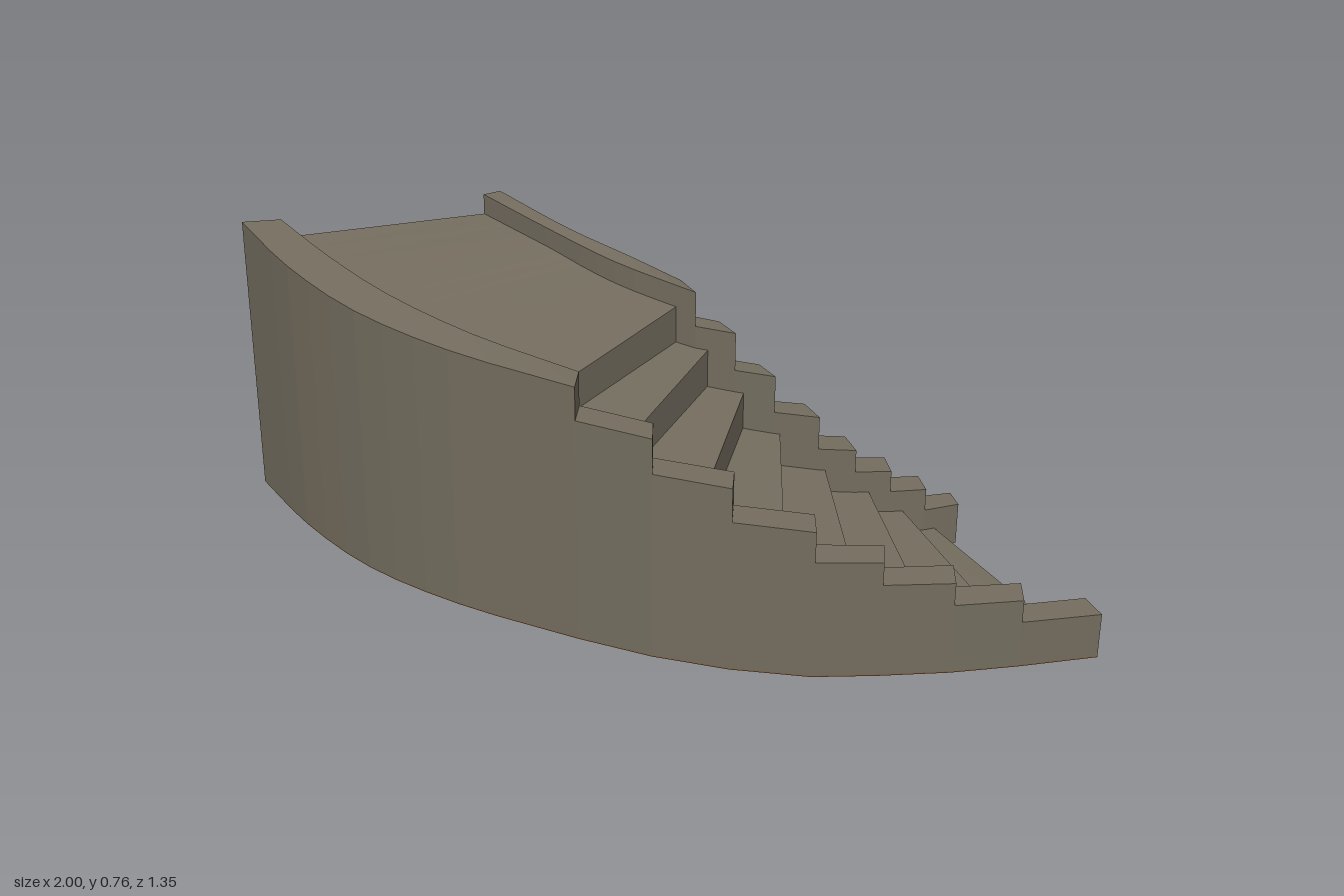
import * as THREE from 'three';

const TRIM = 0.003; // thickness of the base trim

// Solid lofted through stations, standing on the height y0.
// A station is [outerX, outerZ, outerTop, innerX, innerZ, innerTop].
function loft(stations, y0) {
  const rings = stations.map(([ax, az, ha, bx, bz, hb]) => [
    [ax, y0, az], [bx, y0, bz], [bx, hb, bz], [ax, ha, az],
  ]);
  const pos = [];
  const quad = (a, b, c, d) => pos.push(...a, ...b, ...c, ...a, ...c, ...d);
  for (let s = 0; s < rings.length - 1; s++) {
    for (let i = 0; i < 4; i++) {
      const j = (i + 1) % 4;
      quad(rings[s][i], rings[s][j], rings[s + 1][j], rings[s + 1][i]);
    }
  }
  const first = rings[0], last = rings[rings.length - 1];
  quad(first[3], first[2], first[1], first[0]);
  quad(last[0], last[1], last[2], last[3]);
  const geo = new THREE.BufferGeometry();
  geo.setAttribute('position', new THREE.Float32BufferAttribute(pos, 3));
  geo.computeVertexNormals();
  return geo;
}

// Smooth run of stations through a few control stations
function smooth(stations, count) {
  const curve = (o) => new THREE.CatmullRomCurve3(
    stations.map((s) => new THREE.Vector3(s[o], s[o + 2], s[o + 1])));
  const a = curve(0), b = curve(3);
  return Array.from({ length: count + 1 }, (_, i) => {
    const p = a.getPoint(i / count), q = b.getPoint(i / count);
    return [p.x, p.z, p.y, q.x, q.z, q.y];
  });
}

// Widen a station so that its edges sit inside the side walls
function widen([ax, az, ha, bx, bz, hb], f = 0.03) {
  const dx = (bx - ax) * f, dz = (bz - az) * f;
  return [ax - dx, az - dz, ha, bx + dx, bz + dz, hb];
}

export function createModel() {
  const group = new THREE.Group();
  const stone = new THREE.MeshStandardMaterial({ color: 0x746d5f });
  stone.name = 'stone';
  const brown = new THREE.MeshStandardMaterial({ color: 0x7d5530 });
  brown.name = 'brown';
  const add = (name, stations, material = stone, y0 = TRIM) => {
    const mesh = new THREE.Mesh(loft(stations, y0), material);
    mesh.name = name;
    group.add(mesh);
  };

  // Top heights at the outer and inner ends, highest step first
  const outerH = [0.605, 0.507, 0.412, 0.32, 0.24, 0.18, 0.12, 0.06];
  const innerH = [0.635, 0.537, 0.435, 0.335, 0.245, 0.182, 0.122, 0.06];
  const curb = 0.055;

  // Riser lines: outer x, z, inner x, z
  const risers = [
    [-0.23, 0.31, 0.094, -0.088], [-0.078, 0.41, 0.168, -0.035],
    [0.094, 0.485, 0.254, 0.005], [0.265, 0.547, 0.34, 0.048],
    [0.42, 0.575, 0.452, 0.08], [0.57, 0.583, 0.564, 0.093],
    [0.745, 0.58, 0.655, 0.092], [0.9, 0.571, 0.745, 0.078],
  ];

  // Sloping upper landing
  add('landing', smooth([
    [-0.9, -0.51, 0.705, -0.366, -0.65, 0.705],
    [-0.77, -0.285, 0.68, -0.21, -0.42, 0.687],
    [-0.62, -0.065, 0.655, -0.13, -0.31, 0.67],
    [-0.42, 0.155, 0.63, -0.05, -0.215, 0.655],
    [-0.23, 0.31, 0.605, 0.094, -0.088, 0.635],
  ], 12).map((s) => widen(s)));

  // Wedge shaped steps, rising slightly towards the back
  const lift = (k) => (k < 4 ? 0.008 : 0.003);
  for (let k = 1; k < 8; k++) {
    const [ax, az, bx, bz] = risers[k - 1];
    const [cx, cz, dx, dz] = risers[k];
    add('step', [
      widen([ax, az, outerH[k] + lift(k), bx, bz, innerH[k] + 0.003]),
      widen([cx, cz, outerH[k], dx, dz, innerH[k]]),
    ]);
  }

  // Curved side walls beside the landing
  const outerRun = smooth([
    [-1, -0.5, 0.755, -0.9, -0.51, 0.755],
    [-0.87, -0.23, 0.727, -0.77, -0.285, 0.73],
    [-0.7, 0.025, 0.7, -0.62, -0.065, 0.705],
    [-0.48, 0.235, 0.675, -0.42, 0.155, 0.68],
    [-0.2, 0.43, 0.653, -0.184, 0.347, 0.655],
  ], 12);
  const innerRun = smooth([
    [-0.366, -0.65, 0.76, -0.32, -0.675, 0.76],
    [-0.21, -0.42, 0.738, -0.15, -0.405, 0.738],
    [-0.05, -0.215, 0.712, 0, -0.24, 0.712],
    [0.136, -0.046, 0.685, 0.11, -0.135, 0.685],
  ], 12);
  add('outerLandingWall', outerRun);
  add('innerLandingWall', innerRun);

  // Stepped side walls: outer x, z and inner x, z at each joint
  const outerJoints = [
    [-0.2, 0.43, -0.184, 0.347], [-0.035, 0.528, -0.024, 0.443],
    [0.136, 0.603, 0.152, 0.518], [0.318, 0.655, 0.33, 0.568],
    [0.473, 0.666, 0.49, 0.584], [0.64, 0.67, 0.655, 0.585],
    [0.805, 0.66, 0.82, 0.58], [1, 0.64, 0.985, 0.562],
  ];
  const innerJoints = [
    [0.136, -0.046, 0.11, -0.135], [0.23, 0.004, 0.2, -0.08],
    [0.325, 0.047, 0.297, -0.034], [0.433, 0.083, 0.41, -0.003],
    [0.527, 0.095, 0.515, 0.01], [0.62, 0.095, 0.62, 0.014],
    [0.715, 0.087, 0.712, 0.009], [0.81, 0.058, 0.805, -0.008],
  ];
  const steppedWall = (name, joints, heights, rise) => {
    for (let k = 1; k < 8; k++) {
      const h = heights[k] + curb, top = h + rise(k);
      const [ax, az, bx, bz] = joints[k - 1];
      const [cx, cz, dx, dz] = joints[k];
      add(name, [[ax, az, top, bx, bz, top], [cx, cz, h, dx, dz, h]]);
    }
  };
  steppedWall('outerStepWall', outerJoints, outerH, lift);
  steppedWall('innerStepWall', innerJoints, innerH, () => 0.003);

  // Narrow brown trim around the edge of the underside
  const w = 0.012;
  const edges = (run, joints) => [
    ...run.map(([ax, az, , bx, bz]) => [ax, az, bx, bz]), ...joints.slice(1)];
  const toward = (px, pz, qx, qz) => {
    const f = w / Math.hypot(qx - px, qz - pz);
    return [px + (qx - px) * f, pz + (qz - pz) * f];
  };
  const addTrim = (name, pairs) => add(name,
    pairs.map(([ax, az, bx, bz]) => [ax, az, TRIM, bx, bz, TRIM]), brown, 0);
  addTrim('outerBaseTrim', edges(outerRun, outerJoints)
    .map(([ax, az, bx, bz]) => [ax, az, ...toward(ax, az, bx, bz)]));
  addTrim('innerBaseTrim', edges(innerRun, innerJoints)
    .map(([ax, az, bx, bz]) => [...toward(bx, bz, ax, az), bx, bz]));
  addTrim('backBaseTrim', [
    [-1 + w, -0.5 + w, -1, -0.5], [-0.32, -0.675 + w, -0.32, -0.675]]);
  addTrim('frontBaseTrim', [
    [0.9, 0.571, 0.9 - w, 0.571], [0.745, 0.078, 0.745 - w, 0.078]]);

  // Underside panel, level with the trim
  return group;
}
